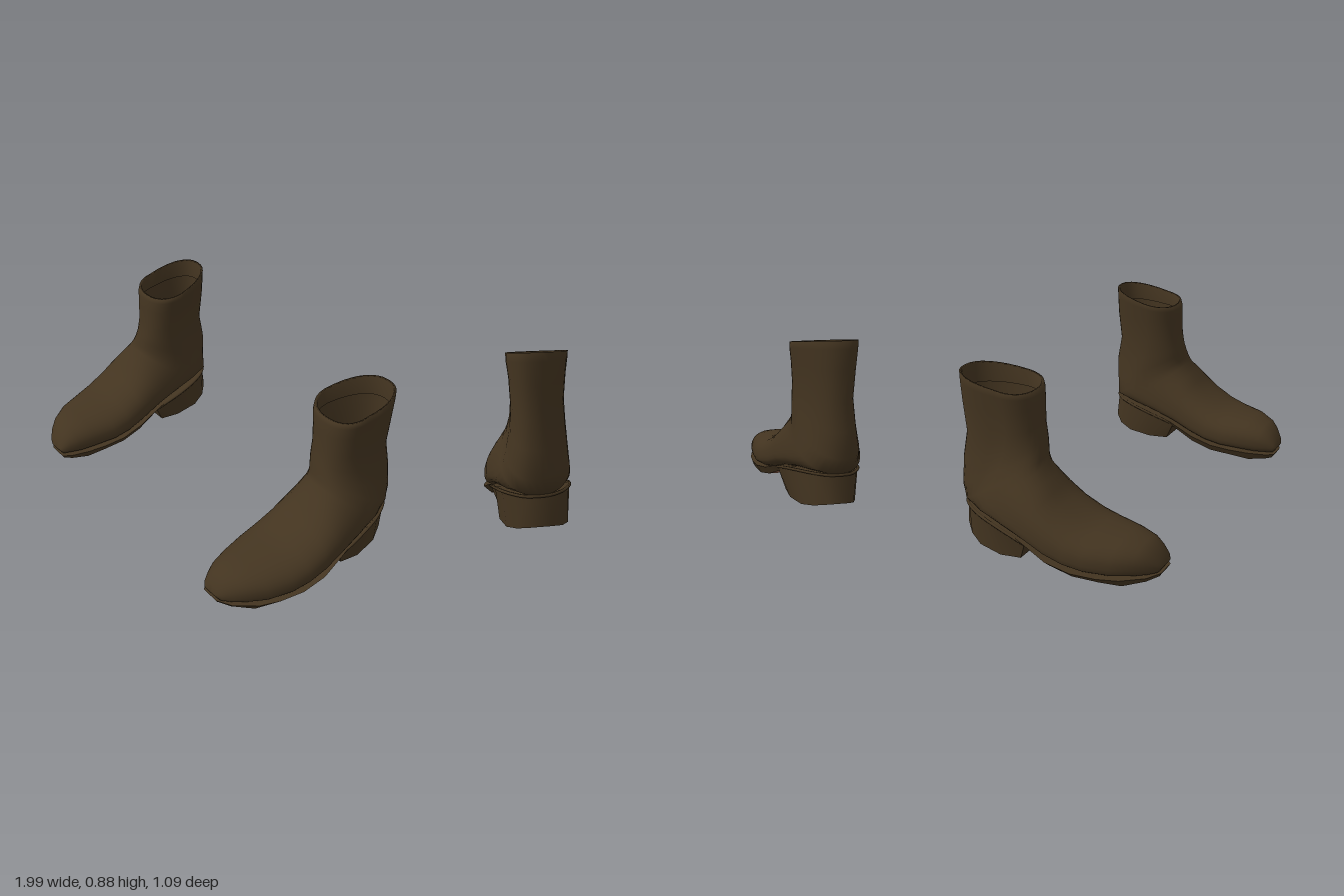
import * as THREE from 'three';
import { toCreasedNormals } from 'three/addons/utils/BufferGeometryUtils.js';

const SEG = 36;

// Upper, toe to shaft top: top z, top y, bottom z, bottom y, inner x, outer x, height of widest point
const UPPER = [
  [0.545, 0.08, 0.545, 0.07, 0.665, 0.75, 0.5],
  [0.535, 0.115, 0.525, 0.04, 0.645, 0.785, 0.45],
  [0.5, 0.16, 0.49, 0.034, 0.625, 0.83, 0.4],
  [0.46, 0.19, 0.43, 0.034, 0.602, 0.875, 0.38],
  [0.37, 0.215, 0.35, 0.036, 0.58, 0.93, 0.36],
  [0.24, 0.23, 0.23, 0.042, 0.556, 0.97, 0.34],
  [0.15, 0.255, 0.13, 0.055, 0.553, 0.985, 0.33],
  [0.05, 0.31, 0.03, 0.08, 0.56, 0.99, 0.31],
  [0, 0.36, -0.1, 0.125, 0.567, 0.985, 0.3],
  [-0.04, 0.41, -0.25, 0.16, 0.575, 0.97, 0.3],
  [-0.08, 0.455, -0.4, 0.185, 0.582, 0.95, 0.34],
  [-0.09, 0.49, -0.525, 0.2, 0.59, 0.925, 0.42],
  [-0.097, 0.53, -0.542, 0.28, 0.594, 0.895, 0.5],
  [-0.105, 0.57, -0.543, 0.42, 0.598, 0.87, 0.58],
  [-0.118, 0.64, -0.515, 0.565, 0.6, 0.86, 0.62],
  [-0.123, 0.74, -0.53, 0.73, 0.588, 0.865, 0.64],
  [-0.127, 0.8, -0.532, 0.84, 0.577, 0.875, 0.65],
  [-0.135, 0.825, -0.532, 0.885, 0.575, 0.875, 0.65],
  // rim rolled inward
  [-0.148, 0.824, -0.52, 0.88, 0.588, 0.862, 0.65],
  [-0.148, 0.76, -0.518, 0.78, 0.598, 0.855, 0.65],
];

// Slabs, front to back: top z, y, inner x, outer x, then the same for the bottom
const SOLE = [
  [0.54, 0.04, 0.655, 0.75, 0.525, 0.014, 0.665, 0.74],
  [0.5, 0.042, 0.622, 0.825, 0.485, 0.006, 0.64, 0.8],
  [0.4, 0.045, 0.587, 0.91, 0.4, 0, 0.605, 0.88],
  [0.3, 0.05, 0.565, 0.955, 0.3, 0.012, 0.585, 0.92],
  [0.18, 0.06, 0.55, 0.987, 0.17, 0.018, 0.575, 0.945],
  [0.05, 0.085, 0.558, 0.995, 0.05, 0.046, 0.58, 0.955],
  [-0.1, 0.14, 0.573, 0.975, -0.08, 0.1, 0.595, 0.945],
  [-0.2, 0.158, 0.585, 0.945, -0.16, 0.115, 0.61, 0.92],
];
const HEEL = [
  [-0.08, 0.13, 0.583, 0.965, -0.14, 0.01, 0.615, 0.92],
  [-0.25, 0.17, 0.58, 0.95, -0.25, 0.003, 0.6, 0.935],
  [-0.38, 0.192, 0.602, 0.922, -0.39, 0.008, 0.61, 0.91],
  [-0.47, 0.2, 0.645, 0.875, -0.475, 0.025, 0.645, 0.865],
  [-0.52, 0.2, 0.71, 0.815, -0.535, 0.045, 0.705, 0.81],
];

// side is 1 for the left boot and -1 for the right boot
function buildMesh(name, points, faces, material, side, crease) {
  const index = faces.flatMap(([a, b, c]) => (side > 0 ? [a, b, c] : [a, c, b]));
  let geometry = new THREE.BufferGeometry();
  geometry.setAttribute('position', new THREE.Float32BufferAttribute(
    points.flatMap(([x, y, z]) => [x * side, y, z]), 3));
  geometry.setIndex(index);
  geometry.computeVertexNormals();
  if (crease) geometry = toCreasedNormals(geometry, crease);
  const mesh = new THREE.Mesh(geometry, material);
  mesh.name = name;
  return mesh;
}

// Rings that turn from upright at the toe to level at the shaft
function upper(material, side) {
  const points = [], faces = [];
  const soft = (v, power) => Math.sign(v) * Math.abs(v) ** power;
  UPPER.forEach(([zt, yt, zb, yb, xi, xo, wide], i) => {
    const lean = yb > 0.25 ? 0.03 : 0; // back of the shaft sits further out
    for (let j = 0; j < SEG; j++) {
      const a = (j / SEG) * Math.PI * 2;
      // foot rings are squarer below than above
      const power = wide < 0.4 && Math.cos(a) < 0 ? 0.7 : 0.87;
      const c = soft(Math.cos(a), power), s = soft(Math.sin(a), power);
      const t = wide + c * (c > 0 ? 1 - wide : wide);
      const x = (xi + xo) / 2 + ((xo - xi) / 2) * s + lean * Math.max(0, -c);
      points.push([x, yb + (yt - yb) * t, zb + (zt - zb) * t]);
      if (i === 0) continue;
      const k = (j + 1) % SEG, p = (i - 1) * SEG, q = i * SEG;
      faces.push([p + j, p + k, q + j], [p + k, q + k, q + j]);
    }
  });
  // close the toe tip
  for (let j = 1; j < SEG - 1; j++) faces.push([0, j + 1, j]);
  return buildMesh('upper', points, faces, material, side);
}

// Slab with leather edges and a separate tread face
function slab(name, rows, edgeMaterial, treadMaterial, side) {
  const group = new THREE.Group();
  group.name = name;
  const n = rows.length;
  const corner = (r, o, outer) => [r[o + (outer ? 3 : 2)], r[o + 1], r[o]];
  const loop = (o) => [
    ...rows.map((r) => corner(r, o, false)),
    ...[...rows].reverse().map((r) => corner(r, o, true)),
  ];
  const m = n * 2, walls = [], tops = [], treads = [];
  for (let k = 0; k < m; k++) {
    const next = (k + 1) % m;
    walls.push([m + k, k, m + next], [k, next, m + next]);
  }
  for (let i = 0; i < n - 1; i++) {
    const l = i, l2 = i + 1, r = m - 1 - i, r2 = m - 2 - i;
    treads.push([l, l2, r], [r, l2, r2]);
    tops.push([l, r, l2], [r, r2, l2]);
  }
  group.add(
    buildMesh(name + 'Edge', [...loop(0), ...loop(4)], [...walls, ...tops], edgeMaterial, side, 0.9),
    buildMesh(name + 'Tread', loop(4), treads, treadMaterial, side),
  );
  return group;
}

// Egg-shaped pad, narrow at the back, seen through the shaft opening
function insole(material, side) {
  const pad = new THREE.CylinderGeometry(1, 1, 1, 32);
  const position = pad.attributes.position;
  for (let i = 0; i < position.count; i++) {
    position.setX(i, position.getX(i) * (1 + 0.35 * position.getZ(i)));
  }
  pad.scale(0.112, 0.008, 0.19);
  pad.rotateX(0.13);
  pad.translate(0.745 * side, 0.222, -0.335);
  const mesh = new THREE.Mesh(pad, material);
  mesh.name = 'insole';
  return mesh;
}

function boot(side, materials) {
  const { leather, soleLeather, rubber } = materials;
  const group = new THREE.Group();
  group.name = side > 0 ? 'leftBoot' : 'rightBoot';
  group.add(
    upper(leather, side),
    slab('sole', SOLE, leather, soleLeather, side),
    slab('heel', HEEL, leather, rubber, side),
    insole(rubber, side),
  );

  // Welt around the top of the heel
  const path = [
    ...HEEL.map((r) => [r[2], r[1], r[0]]),
    ...[...HEEL].reverse().map((r) => [r[3], r[1], r[0]]),
  ].map(([x, y, z]) => new THREE.Vector3(x * side, y - 0.004, z));
  const welt = new THREE.Mesh(
    new THREE.TubeGeometry(new THREE.CatmullRomCurve3(path), 40, 0.008, 6), leather);
  welt.name = 'heelWelt';
  group.add(welt);
  return group;
}

export function createModel() {
  const make = (name, color, surface = THREE.FrontSide) => {
    const material = new THREE.MeshStandardMaterial({ color, side: surface });
    material.name = name;
    return material;
  };
  const materials = {
    leather: make('brown leather', 0x433420, THREE.DoubleSide),
    soleLeather: make('reddish sole leather', 0xa06c54),
    rubber: make('dark grey rubber', 0x393f3b),
  };
  const model = new THREE.Group();
  model.name = 'boots';
  for (const side of [1, -1]) model.add(boot(side, materials));
  return model;
}
